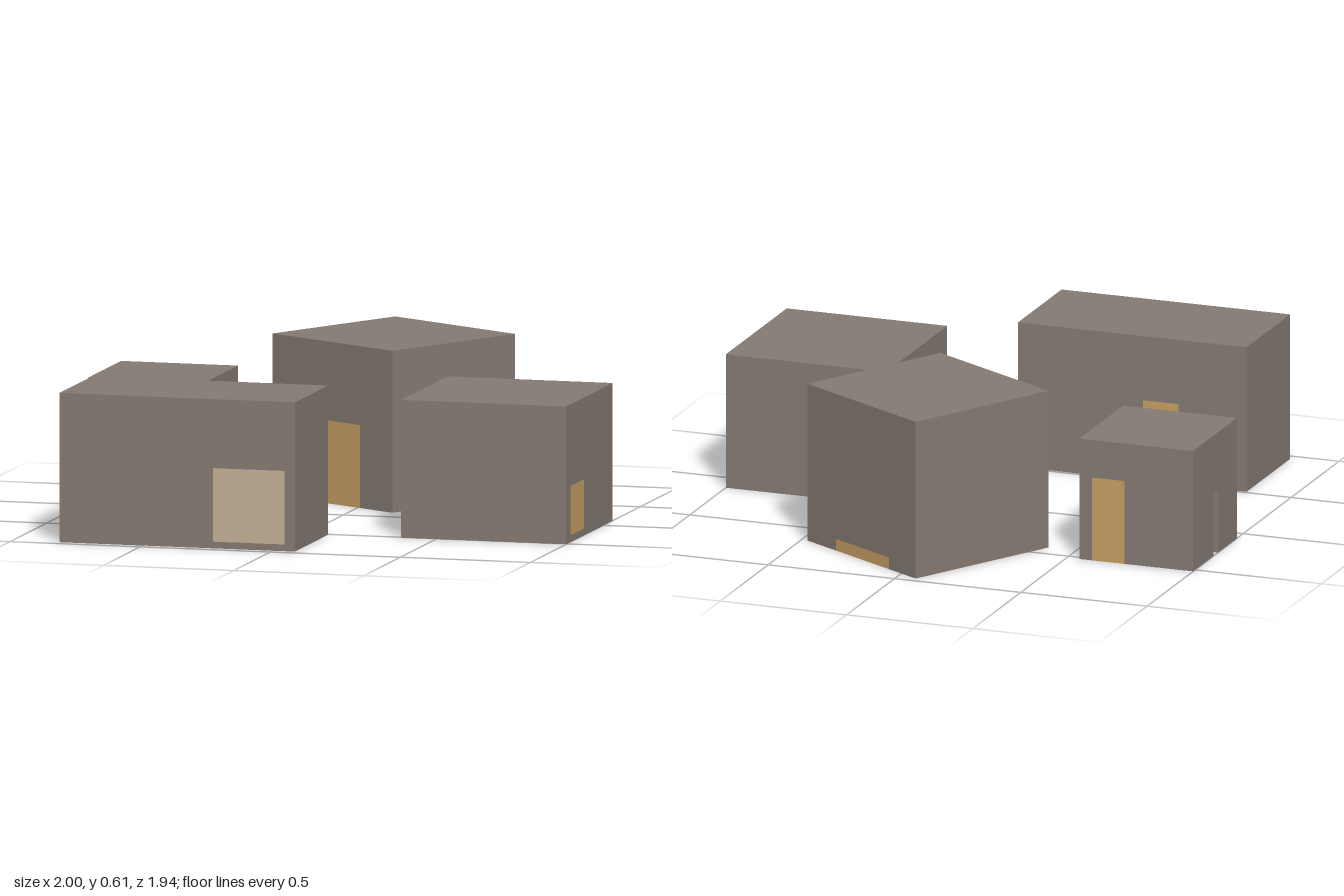
import * as THREE from 'three';

const T = 0.05; // wall and roof thickness
const wallMat = new THREE.MeshStandardMaterial({ color: 0x857a73 });
const doorMat = new THREE.MeshStandardMaterial({ color: 0xc79f63 });
const shutterMat = new THREE.MeshStandardMaterial({ color: 0xc4b094 });
const knobMat = new THREE.MeshStandardMaterial({ color: 0x7a5a35 });

function add(parent, geometry, material, name, x = 0, y = 0, z = 0) {
  const mesh = new THREE.Mesh(geometry, material);
  mesh.name = name;
  mesh.position.set(x, y, z);
  parent.add(mesh);
  return mesh;
}

// Wall with doorways cut up from the ground and windows cut as holes
function wallGeometry(width, height, openings) {
  const half = width / 2;
  const shape = new THREE.Shape();
  shape.moveTo(-half, 0);
  for (const { u: [a, b], y: [lo, hi] } of openings) {
    if (lo > 0) {
      const hole = new THREE.Path();
      hole.moveTo(a, lo).lineTo(a, hi).lineTo(b, hi).lineTo(b, lo).closePath();
      shape.holes.push(hole);
    } else {
      shape.lineTo(a, 0).lineTo(a, hi).lineTo(b, hi).lineTo(b, 0);
    }
  }
  shape.lineTo(half, 0).lineTo(half, height).lineTo(-half, height).closePath();
  return new THREE.ExtrudeGeometry(shape, { depth: T, bevelEnabled: false });
}

// Hollow flat-roofed house, open underneath
function house({ name, x, z, w, d, h, turn = 0, openings }) {
  const group = new THREE.Group();
  group.name = name;
  group.position.set(x, 0, z);
  group.rotation.y = turn;

  const sides = [
    ['front', 0, w, d / 2], ['left', Math.PI / 2, d - 2 * T, w / 2],
    ['back', Math.PI, w, d / 2], ['right', -Math.PI / 2, d - 2 * T, w / 2],
  ];
  for (const [side, angle, width, out] of sides) {
    const wall = new THREE.Group();
    wall.name = side + 'Side';
    wall.rotation.y = angle;
    group.add(wall);
    const cuts = openings.filter((o) => o.side === side);
    add(wall, wallGeometry(width, h - T, cuts), wallMat, side + 'Wall', 0, 0, out - T);

    // Thin panels flush with the outer face
    for (const { u: [a, b], y: [lo, hi], part, mat = doorMat } of cuts) {
      if (!part) continue;
      add(wall, new THREE.BoxGeometry(b - a, hi - lo, 0.02), mat, part,
        (a + b) / 2, (lo + hi) / 2, out - 0.01);
    }
  }
  add(group, new THREE.BoxGeometry(w, T, d), wallMat, 'roof', 0, h - T / 2, 0);
  return group;
}

export function createModel() {
  const model = new THREE.Group();
  model.name = 'houses';

  const small = house({
    name: 'smallHouse', x: -0.775, z: -0.2925, w: 0.45, d: 0.455, h: 0.465,
    openings: [
      { side: 'front', u: [-0.18, -0.135], y: [0.05, 0.32], part: 'window' },
      { side: 'back', u: [-0.175, -0.047], y: [0, 0.32], part: 'door' },
      { side: 'right', u: [-0.0175, 0.0325], y: [0, 0.24] },
    ],
  });

  const long = house({
    name: 'longHouse', x: -0.3675, z: 0.7375, w: 0.905, d: 0.455, h: 0.558,
    openings: [
      { side: 'front', u: [0.1375, 0.4125], y: [0.025, 0.3], part: 'shutter', mat: shutterMat },
      { side: 'back', u: [0.0425, 0.1825], y: [0, 0.31], part: 'door' },
    ],
  });

  const square = house({
    name: 'squareHouse', x: 0.6825, z: 0.1925, w: 0.635, d: 0.635, h: 0.515,
    openings: [
      { side: 'left', u: [-0.2575, -0.0725], y: [0.025, 0.21], part: 'window' },
      { side: 'right', u: [-0.1225, -0.0375], y: [0, 0.3] },
    ],
  });

  const turned = house({
    name: 'turnedHouse', x: 0.043, z: -0.538, w: 0.634, d: 0.634, h: 0.605, turn: -Math.PI / 6,
    openings: [
      { side: 'front', u: [-0.17, 0.145], y: [0, 0.31], part: 'door' },
      { side: 'back', u: [-0.15, 0.16], y: [0, 0.045], part: 'lowHatch' },
    ],
  });

  // Door knobs
  const knob = new THREE.SphereGeometry(0.009, 12, 8);
  add(turned, knob, knobMat, 'doorKnob', -0.106, 0.21, 0.29);
  add(model, knob, knobMat, 'looseKnob', -0.538, 0.009, 0.015);

  model.add(small, long, square, turned);
  return model;
}
